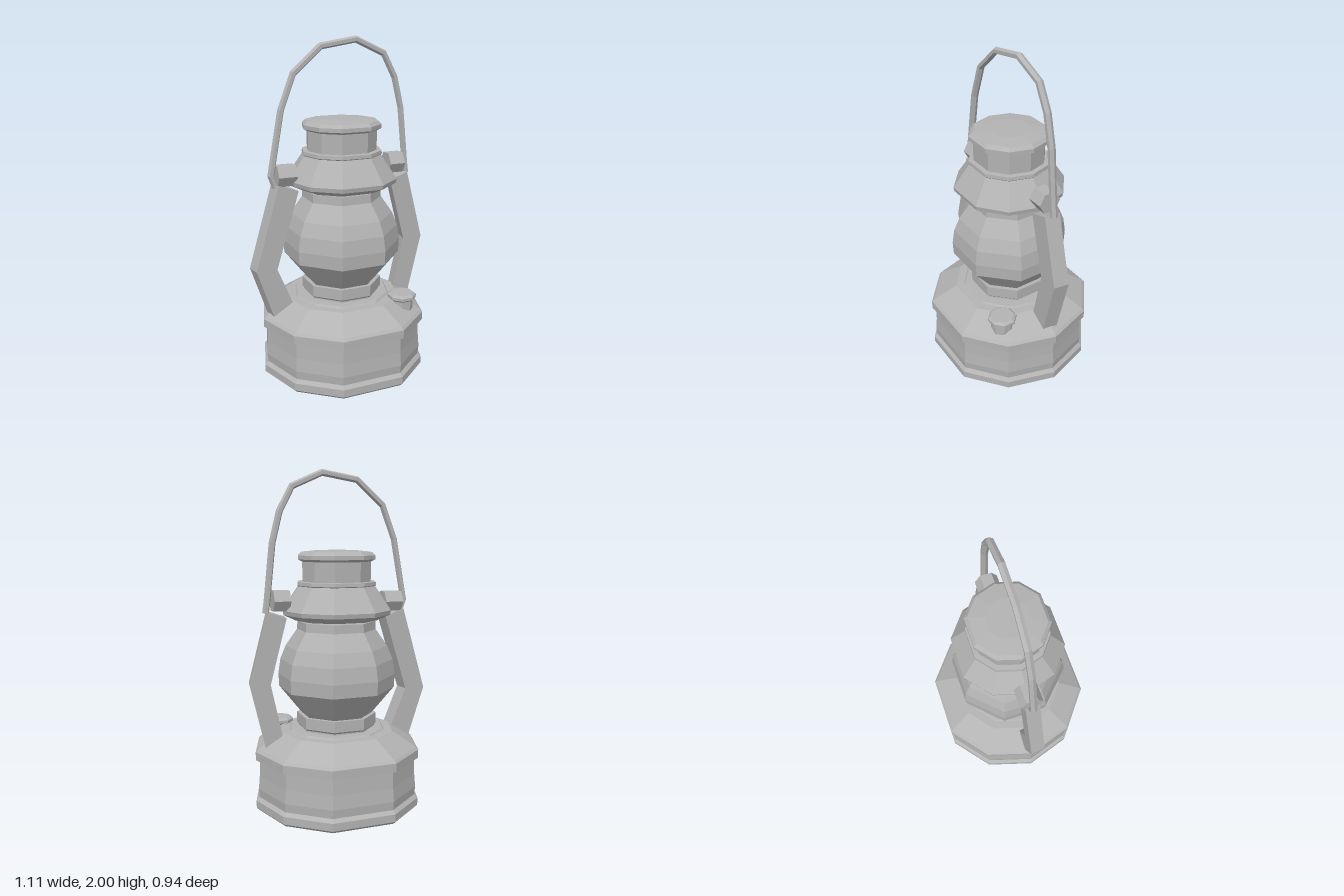
import * as THREE from 'three';

const CX = 0.013; // the lantern body sits slightly off centre

export function createModel() {
  const model = new THREE.Group();
  model.name = 'lantern';
  const metal = new THREE.MeshStandardMaterial({ color: 0xb3b3b3 });
  metal.name = 'grey metal';

  // Every part is faceted, so each face gets its own normal
  function add(name, geometry) {
    const flat = geometry.index ? geometry.toNonIndexed() : geometry;
    flat.computeVertexNormals();
    const mesh = new THREE.Mesh(flat, metal);
    mesh.name = name;
    model.add(mesh);
    return mesh;
  }

  // Joins rings of points (anticlockwise about the direction of travel) and caps both ends
  function skin(rings) {
    const n = rings[0].length;
    const index = [];
    for (let i = 0; i < rings.length - 1; i++) {
      for (let j = 0; j < n; j++) {
        const a = i * n + j, b = i * n + (j + 1) % n;
        index.push(a, b, b + n, a, b + n, a + n);
      }
    }
    const last = (rings.length - 1) * n;
    for (let j = 1; j < n - 1; j++) {
      index.push(0, j + 1, j, last, last + j, last + j + 1);
    }
    const geometry = new THREE.BufferGeometry();
    geometry.setAttribute('position', new THREE.Float32BufferAttribute(rings.flat(2), 3));
    geometry.setIndex(index);
    return geometry;
  }

  // Turned part from a [radius, height] profile, with corners at the given angles
  function turned(profile, degrees, x = CX, z = 0) {
    return skin(profile.map(([r, y]) => degrees.map((d) => {
      const a = THREE.MathUtils.degToRad(d);
      return [x + r * Math.cos(a), y, z - r * Math.sin(a)];
    })));
  }
  const ten = [0, 34.3, 68, 112, 145.7, 180, 214.3, 248, 292, 325.7];
  const eight = Array.from({ length: 8 }, (_, i) => 22.5 + i * 45);

  // Fuel tank with rolled rims and a sloping shoulder
  add('fuelTank', turned([
    [0.49, 0], [0.505, 0.015], [0.505, 0.06], [0.485, 0.08], [0.49, 0.13], [0.483, 0.21],
    [0.48, 0.305], [0.505, 0.31], [0.505, 0.36], [0.49, 0.375], [0.345, 0.465],
    [0.295, 0.467], [0.285, 0.478],
  ], ten));

  // Burner collar and glass globe
  add('burnerCollar', turned([[0.23, 0.47], [0.23, 0.485], [0.24, 0.495], [0.24, 0.56]], eight));
  add('globe', turned([
    [0.21, 0.555], [0.24, 0.59], [0.348, 0.72], [0.352, 0.8], [0.338, 0.89],
    [0.305, 0.97], [0.236, 1.07], [0.233, 1.12],
  ], eight));

  // Hood, chimney and domed top
  add('hood', turned([
    [0.25, 1.13], [0.325, 1.165], [0.33, 1.19], [0.235, 1.33], [0.24, 1.335],
    [0.238, 1.355], [0.205, 1.357],
  ], ten));
  add('chimney', turned([[0.208, 1.35], [0.21, 1.48]], ten));
  add('chimneyCap', turned([
    [0.21, 1.472], [0.235, 1.485], [0.235, 1.508], [0.215, 1.527], [0.12, 1.537],
  ], ten));

  // Filler cap on the shoulder of the tank
  add('fillerNeck', turned([[0.068, 0.38], [0.068, 0.465]], eight, 0.305, 0.247));
  add('fillerCap', turned([
    [0.068, 0.455], [0.086, 0.468], [0.086, 0.485], [0.07, 0.497],
  ], eight, 0.305, 0.247));

  // Side arms: each section is [left x, left y, right x, right y], from bottom to top
  const arms = {
    rightArm: [[-0.455, 0.38, -0.335, 0.45], [-0.555, 0.68, -0.43, 0.68], [-0.41, 1.18, -0.29, 1.14]],
    leftArm: [[0.36, 0.44, 0.465, 0.385], [0.43, 0.765, 0.555, 0.77], [0.33, 1.15, 0.445, 1.19]],
  };
  for (const [name, sections] of Object.entries(arms)) {
    const inset = name === 'leftArm' ? -0.015 : 0.015;
    add(name, skin(sections.map(([xa, ya, xb, yb]) => [
      [xa + inset, ya, 0.05], [xb + inset, yb, 0.05], [xb, yb, -0.04], [xa, ya, -0.04],
    ])));
  }

  // Six-sided pivots that hold the handle
  for (const [name, x, y, length] of [
    ['rightPivot', -0.34, 1.228, 0.112], ['leftPivot', 0.357, 1.25, 0.098],
  ]) {
    const pivot = add(name, new THREE.CylinderGeometry(0.068, 0.068, length, 6).rotateZ(Math.PI / 2));
    pivot.position.set(x, y, 0);
  }

  // Bent wire handle, swept along its path
  const path = [
    [-0.40, 1.165], [-0.425, 1.23], [-0.357, 1.6], [-0.28, 1.8], [-0.115, 1.945], [0.1, 1.98],
    [0.28, 1.9], [0.355, 1.76], [0.4, 1.58], [0.435, 1.25], [0.445, 1.18],
  ].map(([x, y]) => new THREE.Vector2(x, y));
  add('handle', skin(path.map((p, i) => {
    const before = path[Math.max(i - 1, 0)], after = path[Math.min(i + 1, path.length - 1)];
    const t = after.clone().sub(before).normalize();
    return Array.from({ length: 6 }, (_, k) => {
      const a = k * Math.PI / 3, c = 0.02 * Math.cos(a);
      return [p.x - t.y * c, p.y + t.x * c, 0.022 * Math.sin(a)];
    });
  })));

  return model;
}
